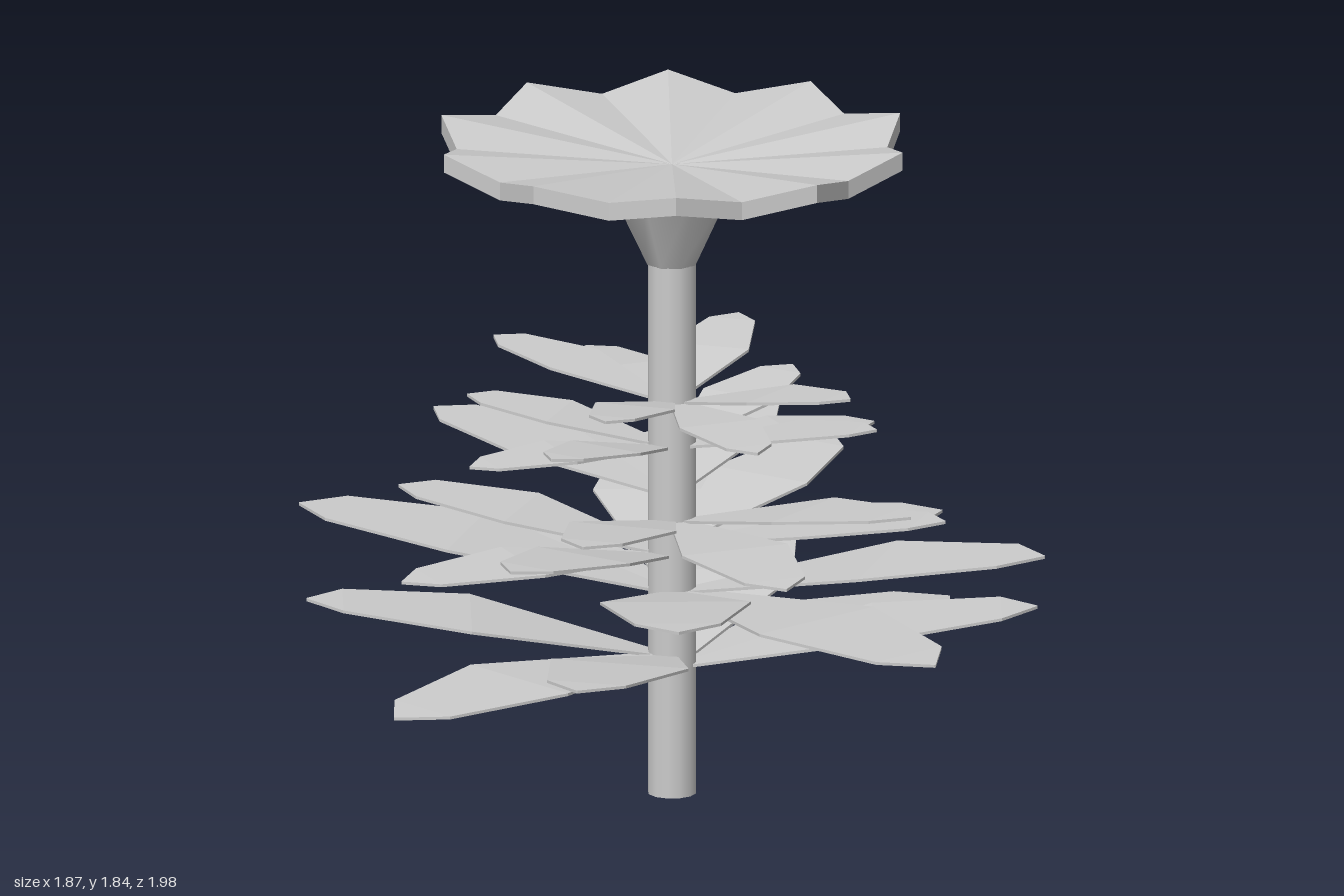
import * as THREE from 'three';

const mat = new THREE.MeshStandardMaterial({ color: 0xcccccc });
const flatMat = new THREE.MeshStandardMaterial({ color: 0xcccccc, flatShading: true });
const CX = 0.02, CZ = 0.005; // stem axis
const STEM_R = 0.066;
const rad = THREE.MathUtils.degToRad;

function add(parent, geometry, material, name) {
  const mesh = new THREE.Mesh(geometry, material);
  mesh.name = name;
  parent.add(mesh);
  return mesh;
}

// Thin blade along +x: narrow foot, broad middle, shoulders and a pointed tip.
function leafGeometry(length, rise, arch) {
  const rows = [ // distance, half width, share of the rise, share of the arch
    [0.05, 0.03, 0, 0],
    [0.55, 0.195, 0.72, 1],
    [0.9, 0.112, 0.97, 0.3],
    [1, 0.002, 1, 0],
  ];
  const g = new THREE.BoxGeometry(3, 0.008, 2, 3, 1, 1);
  const p = g.attributes.position;
  for (let i = 0; i < p.count; i++) {
    const [t, w, r, a] = rows[Math.round(p.getX(i) + 1.5)];
    p.setXYZ(i, t * length, p.getY(i) + r * rise + a * arch, p.getZ(i) * w * length);
  }
  g.computeVertexNormals();
  return g;
}

// Three leaves from one point: a level middle leaf and two rising side leaves.
function leafCluster(size, angle, y) {
  const cluster = new THREE.Group();
  cluster.name = 'leafCluster';
  const middle = leafGeometry(size * 1.02, 0, 0.025 * size);
  const side = leafGeometry(size, 0.155 * size, 0);
  for (const [geo, turn, name] of [
    [middle, -4, 'middleLeaf'], [side, -37, 'sideLeaf'], [side, 37, 'sideLeaf'],
  ]) {
    add(cluster, geo, flatMat, name).rotation.y = -rad(turn);
  }
  cluster.rotation.y = -rad(angle);
  cluster.position.y = y;
  return cluster;
}

// Shallow dish with ten points on its rim.
function dishGeometry() {
  const g = new THREE.CylinderGeometry(1, 1, 2, 20, 1);
  const p = g.attributes.position;
  for (let i = 0; i < p.count; i++) {
    const x = p.getX(i), z = p.getZ(i), top = p.getY(i) > 0;
    if (Math.hypot(x, z) < 0.5) {
      p.setY(i, top ? 1.755 : 1.705);
      continue;
    }
    const tip = Math.cos(10 * Math.atan2(z, x)) > 0;
    const r = tip ? 0.65 : 0.58;
    p.setXYZ(i, x * r, (tip ? 1.84 : 1.8) - (top ? 0 : 0.05), z * r);
  }
  g.computeVertexNormals();
  return g;
}

export function createModel() {
  const group = new THREE.Group();
  group.name = 'flower';
  const plant = new THREE.Group();
  plant.name = 'plant';
  plant.position.set(CX, 0, CZ);
  group.add(plant);

  // Stem and the flared cup under the flower head
  const stem = new THREE.CylinderGeometry(STEM_R, STEM_R, 1.5, 12);
  add(plant, stem, mat, 'stem').position.y = 0.75;
  const cup = new THREE.CylinderGeometry(0.185, 0.07, 0.24, 8);
  add(plant, cup, mat, 'cup').position.y = 1.6;

  add(plant, dishGeometry(), flatMat, 'flowerHead');

  // Opposite pairs of clusters, each pair a quarter turn from the last:
  // size, direction of the first, twist, heights of the two
  const pairs = [
    [0.985, 0, -19, 0.36, 0.39],
    [1.04, 90, -19, 0.57, 0.57],
    [0.775, 0, 0, 0.7, 0.67],
    [0.775, 90, 0, 0.765, 0.835],
    [0.58, 0, 0, 0.97, 0.97],
    [0.58, 90, 0, 1.095, 1.095],
  ];
  for (const [size, direction, twist, y1, y2] of pairs) {
    plant.add(leafCluster(size, direction + twist, y1));
    plant.add(leafCluster(size, direction + twist + 180, y2));
  }
  return group;
}
